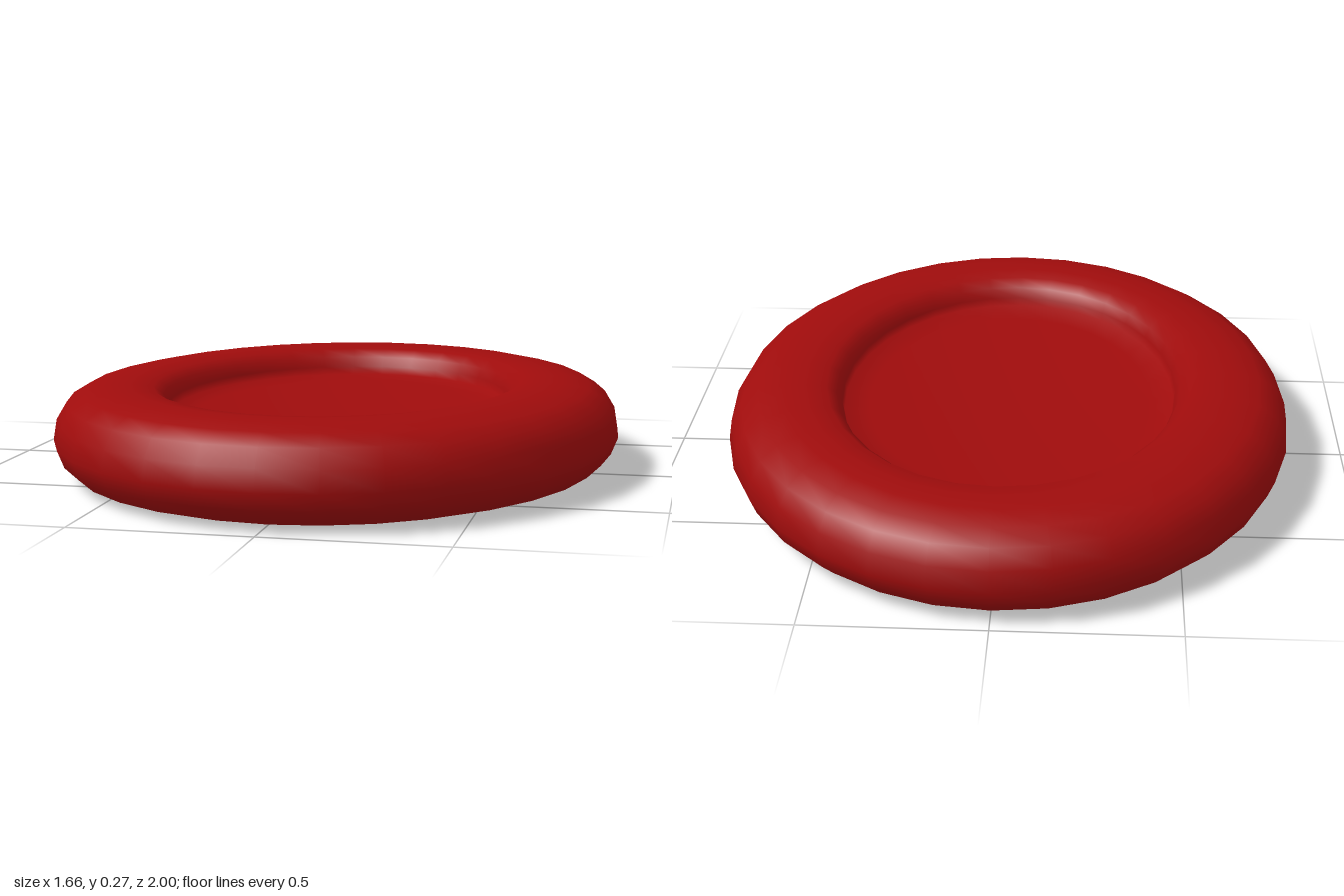
import * as THREE from 'three';
import { mergeVertices } from 'three/addons/utils/BufferGeometryUtils.js';

const LENGTH = 1;            // half length along z
const NARROWER = 0.17;       // how much less the rim reaches along x
const FLOOR_Z = 0.66;        // half length of the dished floor
const FLOOR_X = FLOOR_Z - NARROWER;

// Rim section as [distance in from the outer edge, height]
const lowerRim = [[0.335, 0.06], [0.32, 0.03], [0.29, 0.006], [0.21, 0], [0.13, 0.003], [0.06, 0.022], [0.02, 0.06]];
const upperRim = [[0, 0.11], [0.01, 0.17], [0.04, 0.22], [0.09, 0.25], [0.16, 0.265], [0.23, 0.266], [0.29, 0.259], [0.32, 0.235], [0.335, 0.205]];

// Shallow dish from the centre to the foot of the rim
function dish(centreY, edgeY) {
  const points = [], steps = 7;
  for (let i = 0; i <= steps; i++) {
    const t = i / steps;
    points.push(new THREE.Vector2(FLOOR_Z * t, centreY + (edgeY - centreY) * t * t));
  }
  return points;
}

function discGeometry() {
  const rim = [...lowerRim, ...upperRim].map(([inset, y]) => new THREE.Vector2(LENGTH - inset, y));
  const profile = [...dish(0.115, 0.085), ...rim, ...dish(0.15, 0.18).reverse()];
  let geometry = new THREE.LatheGeometry(profile, 32);

  // Turn the round plan into an oval whose rim keeps a constant width
  const position = geometry.attributes.position;
  for (let i = 0; i < position.count; i++) {
    const x = position.getX(i), radius = Math.hypot(x, position.getZ(i));
    if (radius < 1e-6) continue;
    const narrow = radius > FLOOR_Z ? radius - NARROWER : radius * FLOOR_X / FLOOR_Z;
    position.setX(i, x * narrow / radius);
  }

  // Weld the seam so the shading stays smooth all round
  geometry.deleteAttribute('uv');
  geometry.deleteAttribute('normal');
  geometry = mergeVertices(geometry, 1e-4);
  geometry.computeVertexNormals();
  return geometry;
}

export function createModel() {
  const group = new THREE.Group();
  group.name = 'biconcaveDisc';
  const disc = new THREE.Mesh(discGeometry(), new THREE.MeshStandardMaterial({ color: 0x9f0c0c }));
  disc.name = 'rimAndDishedCentre';
  group.add(disc);
  return group;
}
